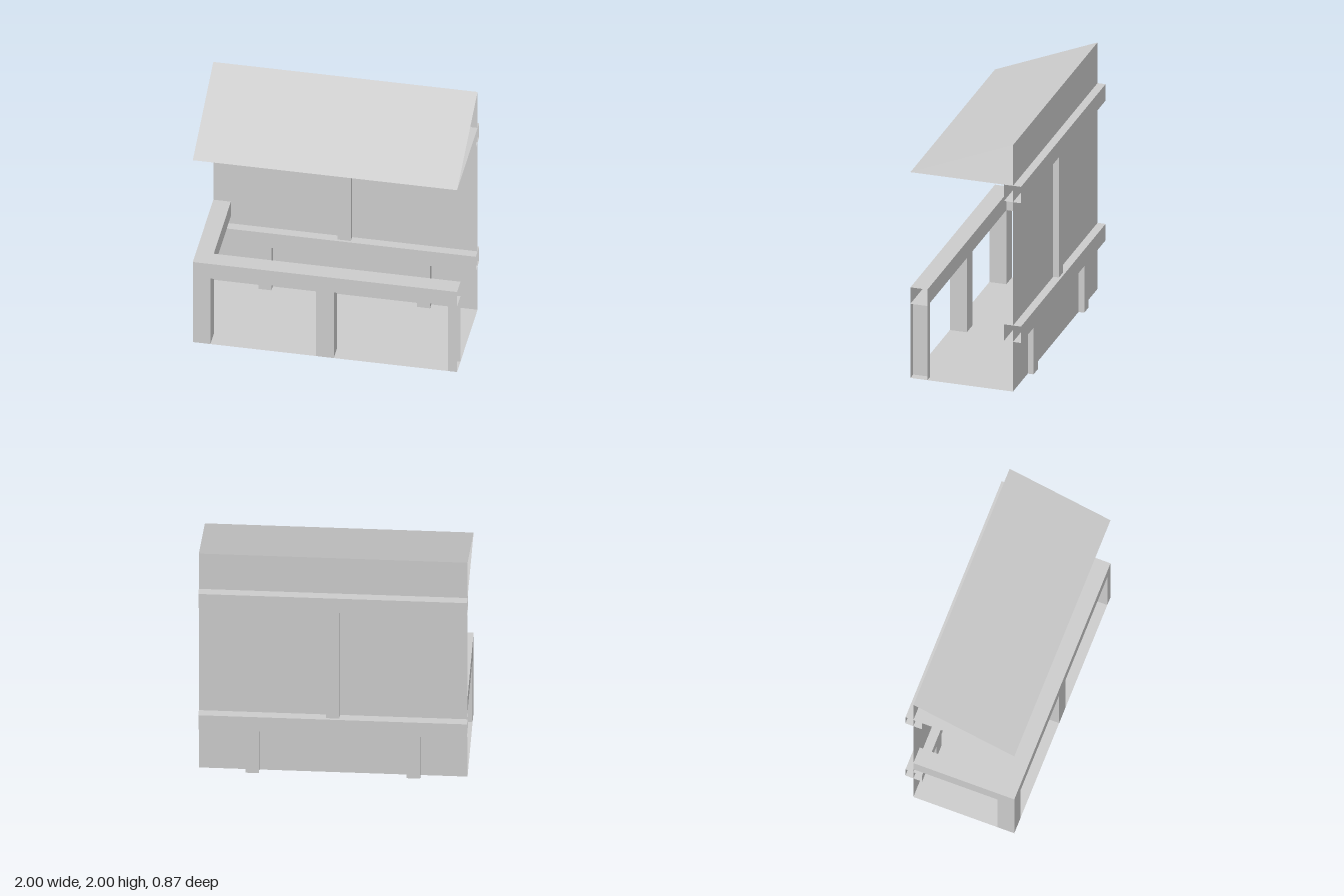
import * as THREE from 'three';

const material = new THREE.MeshStandardMaterial({ color: 0xcccccc, flatShading: true, side: THREE.DoubleSide });
// Box face order: +x, -x, +y, -y, +z, -z
const [PX, NX, PY, NY, PZ, NZ] = [0, 1, 2, 3, 4, 5];

// Hollow beam between limits on each axis, leaving out the listed faces
function beam(name, [x0, x1], [y0, y1], [z0, z1], open) {
  const geo = new THREE.BoxGeometry(x1 - x0, y1 - y0, z1 - z0);
  const index = Array.from(geo.index.array).filter((_, i) => !open.includes(Math.floor(i / 6)));
  geo.setIndex(index);
  geo.clearGroups();
  geo.translate((x0 + x1) / 2, (y0 + y1) / 2, (z0 + z1) / 2);
  const mesh = new THREE.Mesh(geo, material);
  mesh.name = name;
  return mesh;
}

// Thin full-width sheet between two (y, z) edges
function sheet(name, [ya, za], [yb, zb]) {
  const geo = new THREE.BufferGeometry();
  geo.setAttribute('position', new THREE.Float32BufferAttribute(
    [-1, ya, za, 1, ya, za, 1, yb, zb, -1, yb, zb], 3));
  geo.setIndex([0, 1, 2, 0, 2, 3]);
  geo.computeVertexNormals();
  const mesh = new THREE.Mesh(geo, material);
  mesh.name = name;
  return mesh;
}

export function createModel() {
  const model = new THREE.Group();
  model.name = 'stall';
  const wallZ = -0.37, frontZ = 0.433, eaveY = 1.67;

  // Floor, back wall and the wedge roof with open ends
  model.add(
    sheet('floor', [0, frontZ], [0, wallZ]),
    sheet('backWall', [0, wallZ], [2, wallZ]),
    sheet('roofSlope', [eaveY, frontZ], [2, wallZ]),
    sheet('roofUnderside', [eaveY, wallZ], [eaveY, frontZ]),
  );

  // Horizontal wall rails, open at both ends
  for (const [name, y] of [['lowerWallRail', 0.403], ['upperWallRail', 1.537]]) {
    model.add(beam(name, [-1, 1], [y, y + 0.133], [-0.433, -0.3], [PX, NX]));
  }

  // Wall uprights
  const studZ = [-0.415, -0.32];
  model.add(beam('wallStud', [-0.05, 0.05], [0.536, 1.537], studZ, [PY, NY]));
  for (const x of [-0.6, 0.6]) {
    model.add(beam('wallFoot', [x - 0.05, x + 0.05], [0, 0.403], studZ, [PY, NY]));
  }

  // Counter rail along the front, open at the left end, returning to the wall on the right
  const railY = [0.602, 0.735];
  model.add(
    beam('counterRail', [-1, 1], railY, [0.3, frontZ], [PX]),
    beam('sideRail', [-1, -0.867], railY, [wallZ, 0.3], [PZ, NZ]),
  );

  // Counter posts; the last is cut open at the end
  const posts = [[-1, -0.867, []], [-0.067, 0.067, []], [0.933, 1, [PX]]];
  for (const [a, b, open] of posts) {
    model.add(beam('counterPost', [a, b], [0, 0.602], [0.3, frontZ], [PY, NY, ...open]));
  }
  return model;
}
